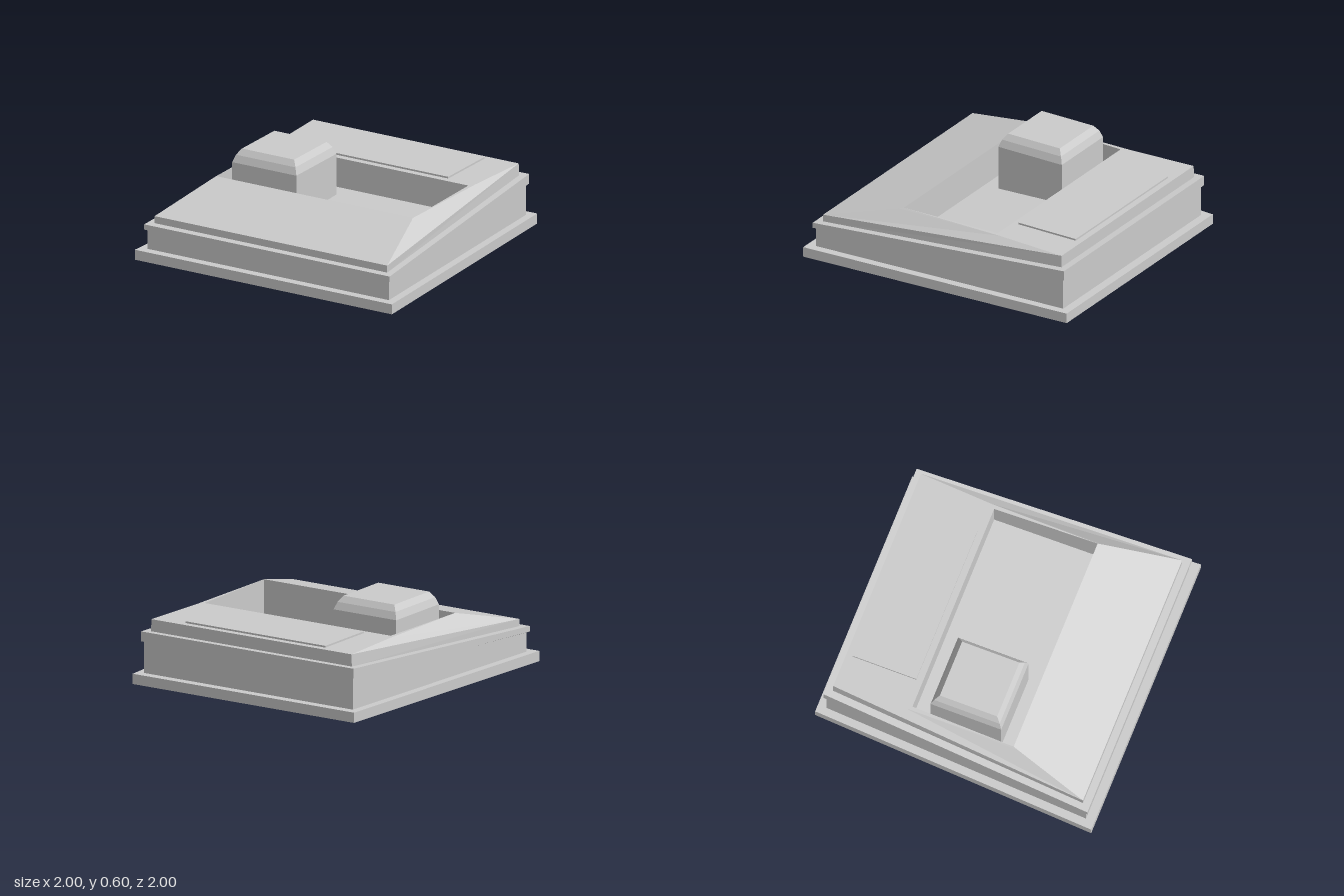
import * as THREE from 'three';

const material = new THREE.MeshStandardMaterial({ color: 0xcccccc, flatShading: true });

// Mesh from flat polygons (corners counter-clockwise from outside)
function facets(name, polygons) {
  const pos = [];
  for (const p of polygons)
    for (let i = 1; i < p.length - 1; i++) pos.push(...p[0], ...p[i], ...p[i + 1]);
  const g = new THREE.BufferGeometry();
  g.setAttribute('position', new THREE.Float32BufferAttribute(pos, 3));
  g.computeVertexNormals();
  const mesh = new THREE.Mesh(g, material);
  mesh.name = name;
  return mesh;
}

// Tapered four-sided ring: half width, z and y at the front, then at the back
const ring = (wf, zf, yf, wb, zb, yb) =>
  [[-wf, yf, zf], [wf, yf, zf], [wb, yb, zb], [-wb, yb, zb]];

// Join successive rings with walls, optionally closing either end
function loft(name, rings, { bottom = false, top = false } = {}) {
  const polys = [];
  for (let k = 0; k < rings.length - 1; k++)
    for (let i = 0; i < 4; i++) {
      const j = (i + 1) % 4;
      polys.push([rings[k][i], rings[k][j], rings[k + 1][j], rings[k + 1][i]]);
    }
  if (bottom) polys.push([...rings[0]].reverse());
  if (top) polys.push(rings[rings.length - 1]);
  return facets(name, polys);
}

export function createModel() {
  const model = new THREE.Group();

  // Stepped outer shell, leaning up toward the back
  const bodyFoot = ring(0.94, 0.94, 0.07, 0.835, -0.94, 0.07);
  const bodyTop = ring(0.94, 0.94, 0.2, 0.835, -0.94, 0.283);
  const lipTop = ring(0.955, 0.955, 0.243, 0.85, -0.955, 0.355);
  const deckFoot = ring(0.905, 0.905, 0.246, 0.803, -0.905, 0.352);
  const deckRim = ring(0.905, 0.905, 0.295, 0.8, -0.905, 0.435);
  model.add(loft('plinth', [
    ring(1, 1, 0, 0.885, -1, 0), ring(1, 1, 0.07, 0.885, -1, 0.07), bodyFoot,
  ], { bottom: true }));
  model.add(loft('body', [bodyFoot, bodyTop]));
  model.add(loft('lip', [
    bodyTop, ring(0.955, 0.955, 0.206, 0.85, -0.955, 0.287), lipTop, deckFoot,
  ]));
  model.add(loft('deckEdge', [deckFoot, deckRim]));

  // Recessed well with a gently sloping floor
  const wellRim = ring(0.765, 0.36, 0.435, 0.745, -0.365, 0.435);
  model.add(loft('well', [
    wellRim, ring(0.765, 0.36, 0.198, 0.745, -0.365, 0.23),
  ], { top: true }));

  // Deck around the well: front slope, rear flat, and mirrored side facets
  const [rFL, rFR, rBR, rBL] = deckRim;
  const [wFL, wFR, wBR, wBL] = wellRim;
  const mirror = ([x, y, z]) => [-x, y, z];
  const sideBack = [0.772, 0.435, -0.4], sideFront = [0.775, 0.426, 0.395];
  const side = [
    [rFR, rBR, sideBack],
    [rFR, sideBack, sideFront],
    [wFR, sideFront, sideBack],
    [wFR, sideBack, wBR],
  ];
  model.add(facets('deck', [
    [rFL, rFR, sideFront, wFR, wFL, mirror(sideFront)],
    [wBL, wBR, sideBack, rBR, rBL, mirror(sideBack)],
    ...side,
    ...side.map((p) => p.map(mirror).reverse()),
  ]));

  // Thin rear plate
  const plate = new THREE.Mesh(new THREE.BoxGeometry(1.12, 0.02, 0.45), material);
  plate.position.set(0, 0.437, -0.635);
  plate.name = 'rearPlate';
  model.add(plate);

  // Block standing in the well, with a faceted shoulder
  const block = loft('block',
    [[0, 0.2], [0, 0.51], [0.018, 0.56], [0.047, 0.6]].map(([inset, y]) => {
      const h = 0.25 - inset;
      return ring(h, h, y, h, -h, y);
    }), { bottom: true, top: true });
  block.position.x = -0.46;
  model.add(block);

  return model;
}
